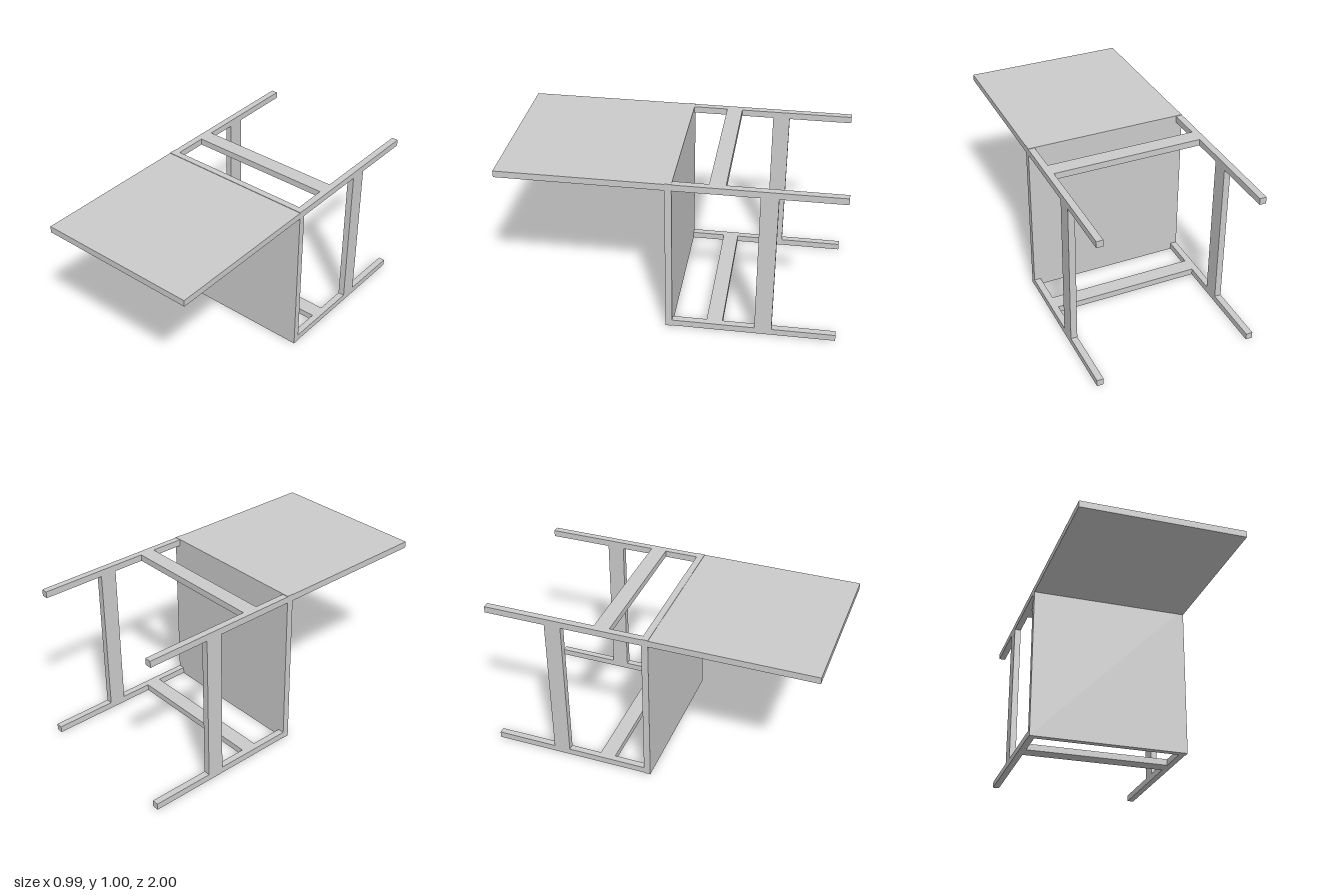
import * as THREE from 'three';

const T = 0.04;      // board thickness
const HALF = 0.496;  // half of the overall width
const LOW = 0.003, HIGH = 0.997;

export function createModel() {
  const model = new THREE.Group();
  const material = new THREE.MeshStandardMaterial({ color: 0xcccccc, flatShading: true });

  // Box given by its lower and upper limits on each axis
  function board(name, [x0, x1], [y0, y1], [z0, z1]) {
    const mesh = new THREE.Mesh(new THREE.BoxGeometry(x1 - x0, y1 - y0, z1 - z0), material);
    mesh.position.set((x0 + x1) / 2, (y0 + y1) / 2, (z0 + z1) / 2);
    mesh.name = name;
    model.add(mesh);
  }

  // Upright panel and the flat board projecting forward from its top edge
  board('uprightPanel', [-HALF, HALF], [0, 1], [-0.022, 0.018]);
  board('frontBoard', [-HALF, HALF], [HIGH - T, HIGH], [0.018, 1]);

  // Upper and lower frames: two side rails joined by a crossbar
  for (const [level, y] of [['lower', [LOW, LOW + T]], ['upper', [HIGH - T, HIGH]]]) {
    board(level + 'Crossbar', [-HALF + T, HALF - T], y, [-0.323, -0.228]);
    board(level + 'LeftRail', [HALF - T, HALF], y, [-1, -0.022]);
    board(level + 'RightRail', [-HALF, -HALF + T], y, [-1, -0.022]);
  }

  // Posts between the upper and lower rails
  board('leftPost', [HALF - T, HALF], [LOW + T, HIGH - T], [-0.62, -0.518]);
  board('rightPost', [-HALF, -HALF + T], [LOW + T, HIGH - T], [-0.62, -0.518]);

  return model;
}
